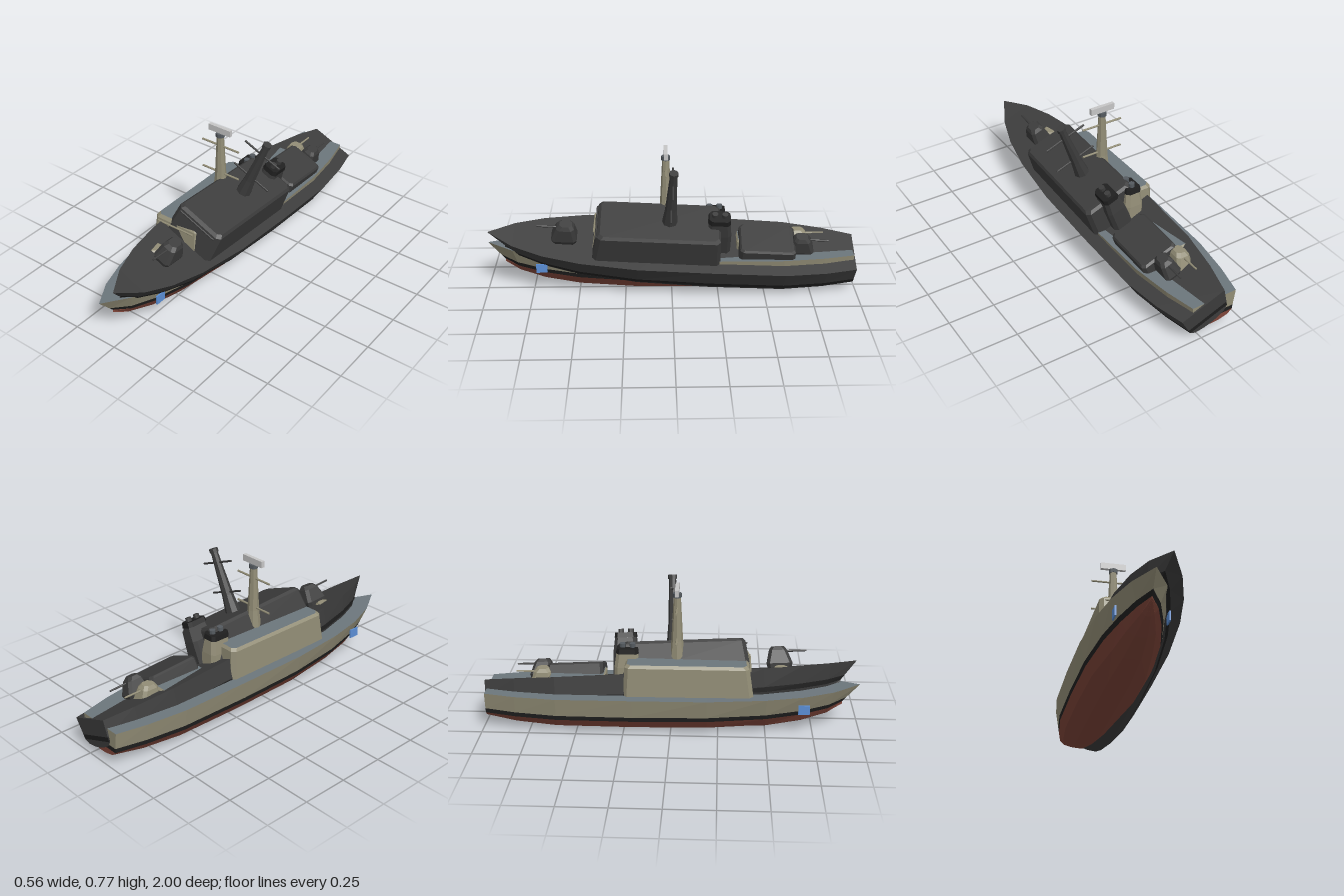
import * as THREE from 'three';

const mat = (name, color) => {
  const m = new THREE.MeshStandardMaterial({ color, flatShading: true });
  m.name = name;
  return m;
};

// Flat-faced geometry from a list of quads
function quadGeometry(quads) {
  const pos = [];
  for (const [a, b, c, d] of quads) pos.push(...a, ...b, ...c, ...a, ...c, ...d);
  const g = new THREE.BufferGeometry();
  g.setAttribute('position', new THREE.Float32BufferAttribute(pos, 3));
  g.computeVertexNormals();
  return g;
}

function add(parent, name, geometry, material, x = 0, y = 0, z = 0) {
  const m = new THREE.Mesh(geometry, material);
  m.name = name;
  m.position.set(x, y, z);
  parent.add(m);
  return m;
}

// Hull stations, bow to stern:
// deck z, keel z, half widths (deck, waterline, bilge, flat), heights (deck, waterline, bilge, keel)
const STATIONS = [
  [1, 0.91, 0, 0, 0, 0, 0.24, 0.14, 0.132, 0.125],
  [0.86, 0.83, 0.085, 0.05, 0.03, 0.012, 0.228, 0.12, 0.09, 0.075],
  [0.7, 0.69, 0.14, 0.098, 0.07, 0.03, 0.22, 0.104, 0.06, 0.035],
  [0.5, 0.5, 0.178, 0.14, 0.1, 0.045, 0.215, 0.092, 0.04, 0.006],
  [0.19, 0.19, 0.203, 0.172, 0.138, 0.058, 0.211, 0.083, 0.034, 0],
  [-0.2, -0.2, 0.205, 0.18, 0.147, 0.06, 0.21, 0.08, 0.033, 0],
  [-0.6, -0.6, 0.198, 0.175, 0.143, 0.058, 0.206, 0.08, 0.034, 0.002],
  [-0.82, -0.82, 0.168, 0.148, 0.12, 0.05, 0.204, 0.083, 0.045, 0.02],
  [-0.985, -0.985, 0.13, 0.115, 0.09, 0.04, 0.203, 0.088, 0.065, 0.05],
];

function section([zd, zk, hd, hw, hb, hf, yd, yw, yb, yk]) {
  const t = 0.025 / (yd - yw); // upper edge of the waterline stripe
  return [[0, yk, zk], [hf, yk + 0.003, zk], [hb, yb, zk], [hw, yw, zk],
    [hw + (hd - hw) * t, yw + 0.025, zk + (zd - zk) * t], [hd, yd, zd]];
}

function buildHull(ship, paint) {
  const rings = STATIONS.map(section);
  const flip = ([x, y, z]) => [-x, y, z];
  const stern = rings[rings.length - 1];
  const bands = (from, to) => {
    const quads = [];
    for (let k = from; k < to; k++) {
      for (let i = 0; i < rings.length - 1; i++) {
        const q = [rings[i][k], rings[i + 1][k], rings[i + 1][k + 1], rings[i][k + 1]];
        quads.push(q, q.map(flip).reverse());
      }
      quads.push([stern[k], flip(stern[k]), flip(stern[k + 1]), stern[k + 1]]);
    }
    return quadGeometry(quads);
  };
  add(ship, 'hullBottom', bands(0, 3), paint.bottom);
  add(ship, 'waterlineStripe', bands(3, 4), paint.stripe);
  add(ship, 'hullSides', bands(4, 5), paint.body);
  const deck = [];
  for (let i = 0; i < rings.length - 1; i++) {
    const a = rings[i][5], b = rings[i + 1][5];
    deck.push([a, b, flip(b), flip(a)]);
  }
  add(ship, 'deck', quadGeometry(deck), paint.deck);
}

// Block with cut corners, lofted through levels of [y, half width, back z, front z]
function loft(parent, name, levels, cut, side, roof) {
  const rings = levels.map(([y, h, b, f]) => [
    [h, y, f - cut], [h, y, b + cut], [h - cut, y, b], [cut - h, y, b],
    [-h, y, b + cut], [-h, y, f - cut], [cut - h, y, f], [h - cut, y, f]]);
  const walls = [];
  for (let i = 0; i < rings.length - 1; i++) {
    for (let j = 0; j < 8; j++) {
      const n = (j + 1) % 8;
      walls.push([rings[i][j], rings[i][n], rings[i + 1][n], rings[i + 1][j]]);
    }
  }
  const t = rings[rings.length - 1];
  add(parent, name, quadGeometry(walls), side);
  add(parent, name + 'Roof', quadGeometry([[t[0], t[1], t[4], t[5]],
    [t[1], t[2], t[3], t[4]], [t[5], t[6], t[7], t[0]]]), roof);
}

// Gun turret facing +z with a single barrel
function turret(ship, name, y, z, turn, size, paint) {
  const g = new THREE.Group();
  g.name = name;
  g.position.set(0, y, z);
  g.rotation.y = turn;
  g.scale.setScalar(size);
  loft(g, 'turretBody', [[0, 0.045, -0.06, 0.065], [0.025, 0.052, -0.065, 0.072],
    [0.095, 0.04, -0.05, 0.045], [0.115, 0.028, -0.038, 0.028]], 0.016, paint.body, paint.body);
  const barrel = add(g, 'gunBarrel', new THREE.CylinderGeometry(0.005, 0.006, 0.12, 8), paint.body, 0, 0.088, 0.09);
  barrel.rotation.x = Math.PI / 2;
  ship.add(g);
}

function buildShip(name, paint) {
  const ship = new THREE.Group();
  ship.name = name;
  buildHull(ship, paint);

  // Bridge block and aft deckhouse
  loft(ship, 'superstructure', [[0.2, 0.15, -0.25, 0.435], [0.365, 0.142, -0.24, 0.41],
    [0.38, 0.13, -0.228, 0.395]], 0.02, paint.body, paint.deck);
  loft(ship, 'deckhouse', [[0.19, 0.107, -0.655, -0.35], [0.27, 0.104, -0.65, -0.352],
    [0.28, 0.095, -0.64, -0.36]], 0.016, paint.body, paint.deck);
  const rail = add(ship, 'bridgeRail', new THREE.CylinderGeometry(0.005, 0.005, 0.23, 8), paint.body, 0, 0.352, 0.416);
  rail.rotation.z = Math.PI / 2;

  // Funnel with dark cap and two exhaust pipes
  loft(ship, 'funnel', [[0.19, 0.056, -0.305, -0.165], [0.33, 0.052, -0.3, -0.17],
    [0.405, 0.042, -0.29, -0.175]], 0.018, paint.body, paint.body);
  loft(ship, 'funnelCap', [[0.405, 0.045, -0.292, -0.172], [0.432, 0.041, -0.288, -0.176]],
    0.016, paint.stripe, paint.stripe);
  for (const z of [-0.205, -0.258]) {
    add(ship, 'exhaustPipe', new THREE.CylinderGeometry(0.016, 0.016, 0.025, 10), paint.fitting, 0, 0.44, z);
  }

  turret(ship, 'foreTurret', 0.215, 0.585, 0, 1, paint);
  turret(ship, 'aftTurret', 0.2, -0.69, Math.PI, 0.93, paint);

  // Mast with two yards and a top collar
  add(ship, 'mastFoot', new THREE.CylinderGeometry(0.031, 0.042, 0.1, 8), paint.body, 0, 0.425, 0.03);
  add(ship, 'mast', new THREE.CylinderGeometry(0.019, 0.031, 0.24, 8), paint.body, 0, 0.595, 0.03);
  add(ship, 'mastCollar', new THREE.CylinderGeometry(0.024, 0.024, 0.022, 8), paint.fitting, 0, 0.724, 0.03);
  for (const y of [0.49, 0.657]) {
    const yard = add(ship, 'yard', new THREE.CylinderGeometry(0.0055, 0.0055, 0.237, 8), paint.body, 0, y, 0.03);
    yard.rotation.z = Math.PI / 2;
  }
  return ship;
}

export function createModel() {
  const khaki = mat('khaki', 0x928d76), grey = mat('deckGrey', 0x6c767c);
  const red = mat('bottomRed', 0x7f4539), black = mat('black', 0x1f1f1f);
  const charcoal = mat('charcoal', 0x3c3c3c), steel = mat('steel', 0x555b60);
  const light = mat('lightGrey', 0xc6c6c6), blue = mat('blue', 0x5b8fd6);
  const model = new THREE.Group();
  model.name = 'twoShips';

  // Upright painted ship
  const painted = buildShip('paintedShip',
    { body: khaki, deck: grey, bottom: red, stripe: black, fitting: steel });
  painted.position.x = -0.077;
  add(painted, 'radar', new THREE.BoxGeometry(0.139, 0.035, 0.02), light, 0, 0.7525, 0.03);
  for (const s of [-1, 1]) {
    add(painted, 'bowPlate', new THREE.BoxGeometry(0.008, 0.05, 0.06), blue, s * 0.13, 0.143, 0.7);
  }
  model.add(painted);

  // Dark ship, heeled over and pitched up through the first
  const dark = buildShip('darkShip',
    { body: charcoal, deck: charcoal, bottom: charcoal, stripe: black, fitting: charcoal });
  dark.position.set(-0.081, 0.064, 0);
  dark.rotation.set(-0.055, 0, -0.387);
  model.add(dark);
  return model;
}
